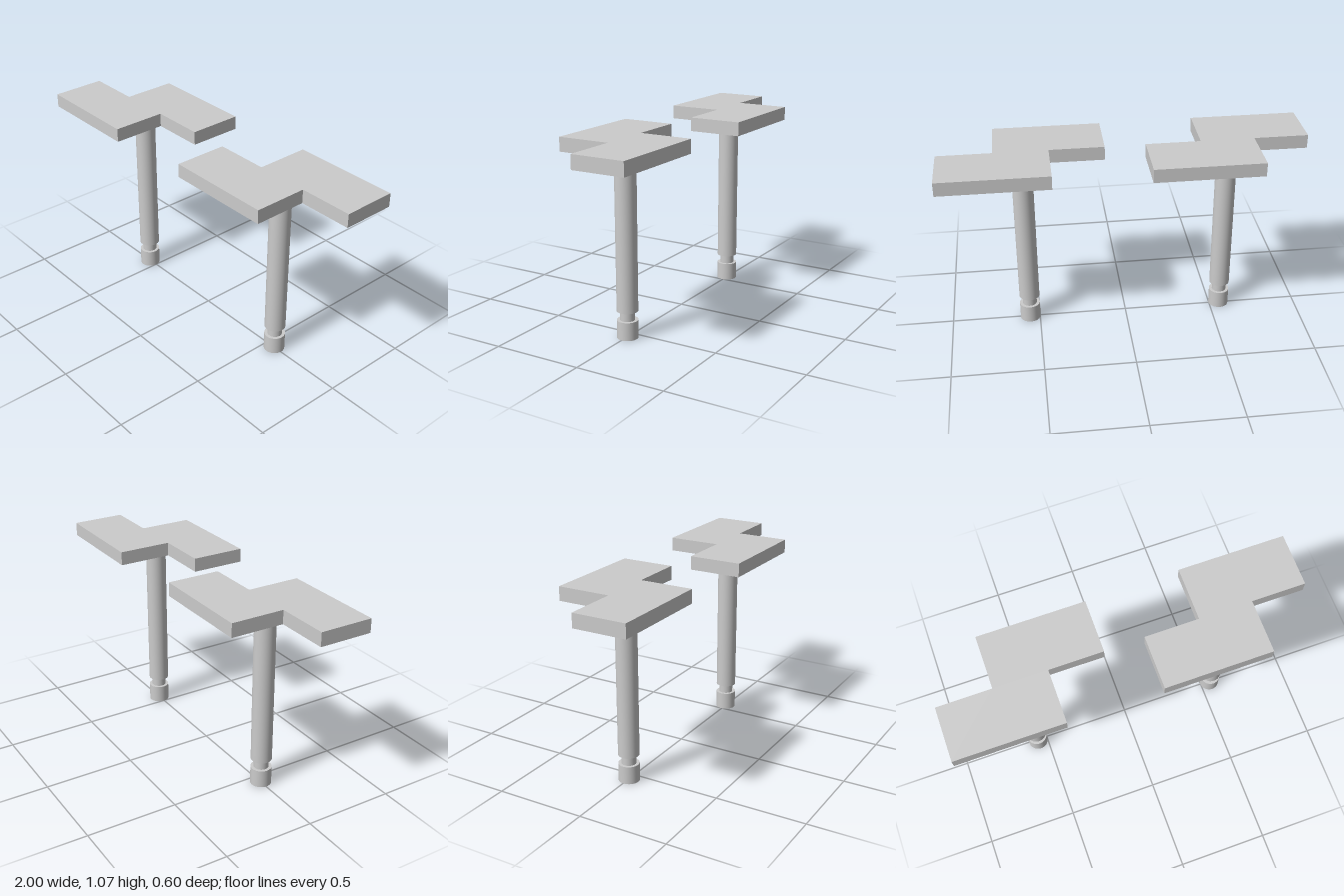
import * as THREE from 'three';

const material = new THREE.MeshStandardMaterial({ color: 0xcccccc });

function addMesh(parent, name, geometry, y) {
  const mesh = new THREE.Mesh(geometry, material);
  mesh.name = name;
  mesh.position.y = y;
  parent.add(mesh);
}

// Upright cylinder between two heights
function addRod(parent, name, radius, y0, y1) {
  addMesh(parent, name, new THREE.CylinderGeometry(radius, radius, y1 - y0, 48), (y0 + y1) / 2);
}

// Stepped handle outline: two overlapping bars, offset sideways
function handleGeometry() {
  const outer = 0.445, inner = 0.147, depth = 0.296;
  const outline = [
    [-outer, -depth], [inner, -depth], [inner, 0], [outer, 0],
    [outer, depth], [-inner, depth], [-inner, 0], [-outer, 0],
  ].map(([x, y]) => new THREE.Vector2(x, y));
  const geometry = new THREE.ExtrudeGeometry(new THREE.Shape(outline), { depth: 0.076, bevelEnabled: false });
  return geometry.rotateX(-Math.PI / 2);
}

function createPin() {
  const pin = new THREE.Group();
  addRod(pin, 'tip', 0.057, 0, 0.1);
  addRod(pin, 'neck', 0.04, 0.1, 0.15);
  addRod(pin, 'shaft', 0.057, 0.15, 0.992);
  addMesh(pin, 'handle', handleGeometry(), 0.992);
  return pin;
}

export function createModel() {
  const model = new THREE.Group();
  model.name = 'pinPair';
  // Two identical pins side by side
  for (const side of [-1, 1]) {
    const pin = createPin();
    pin.name = side > 0 ? 'leftPin' : 'rightPin';
    pin.position.set(side * 0.555, 0, side * -0.003);
    model.add(pin);
  }
  return model;
}
